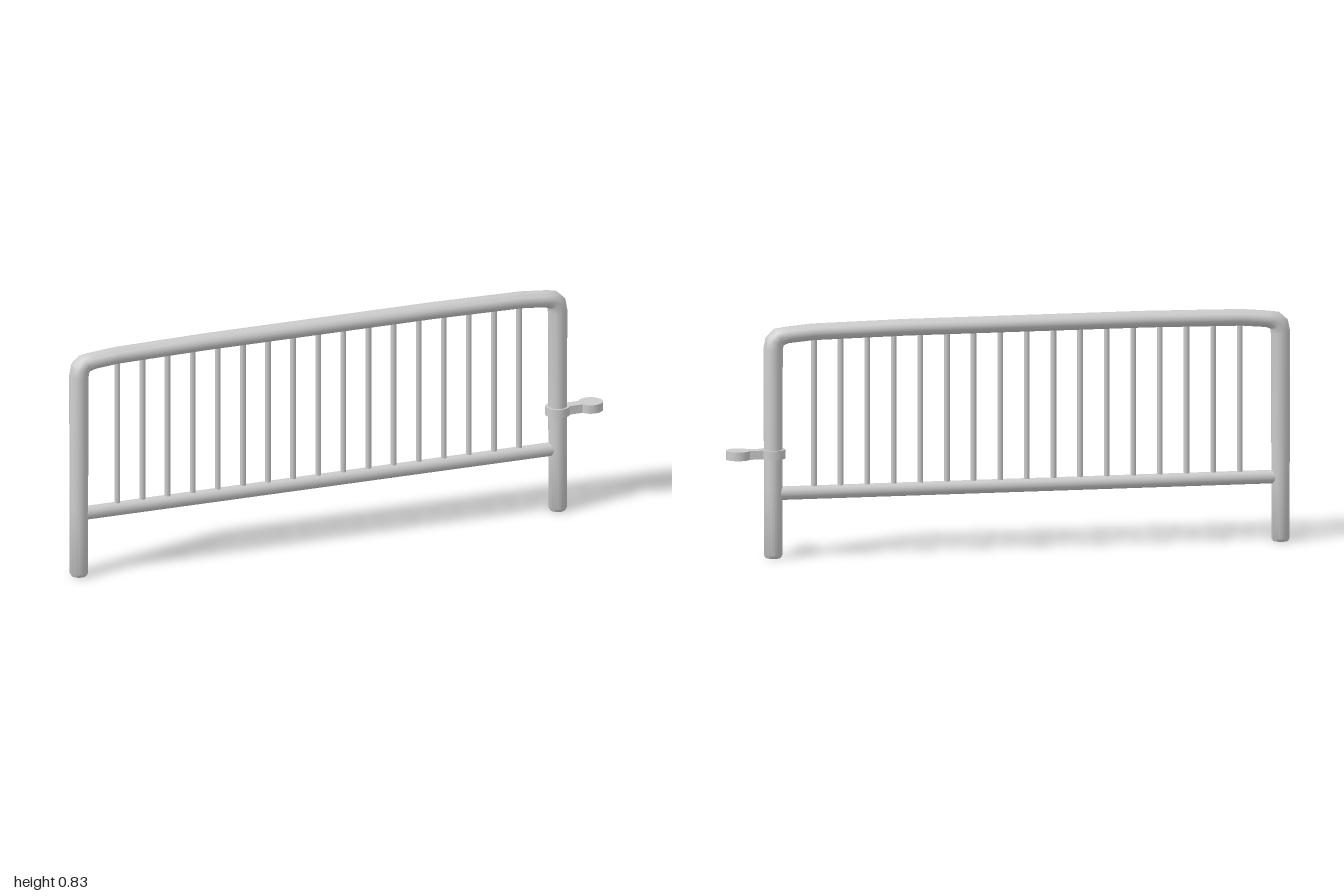
import * as THREE from 'three';
import { toCreasedNormals } from 'three/addons/utils/BufferGeometryUtils.js';

const MID = -0.066; // centre of the barrier frame, the latch sticks out past it
const material = new THREE.MeshStandardMaterial({ color: 0xcccccc });

function add(parent, name, geometry, x = 0, y = 0, z = 0) {
  const mesh = new THREE.Mesh(geometry, material);
  mesh.name = name;
  mesh.position.set(x, y, z);
  parent.add(mesh);
  return mesh;
}

// Sweeps an elliptical section along [x, y, in-plane radius, z radius] stations
function sweep(stations, sides = 20) {
  const pos = [], index = [];
  stations.forEach(([x, y, rn, rz], i) => {
    const a = stations[Math.max(i - 1, 0)];
    const b = stations[Math.min(i + 1, stations.length - 1)];
    const d1 = new THREE.Vector2(x - a[0], y - a[1]).normalize();
    const d2 = new THREE.Vector2(b[0] - x, b[1] - y).normalize();
    const t = d1.add(d2).normalize();
    for (let j = 0; j < sides; j++) {
      const ang = (j / sides) * Math.PI * 2;
      const n = Math.cos(ang) * rn;
      pos.push(x - t.y * n, y + t.x * n, Math.sin(ang) * rz);
      if (i === 0) continue;
      const k = (j + 1) % sides, p = (i - 1) * sides, q = i * sides;
      index.push(p + j, p + k, q + j, p + k, q + k, q + j);
    }
  });
  const g = new THREE.BufferGeometry();
  g.setAttribute('position', new THREE.Float32BufferAttribute(pos, 3));
  g.setIndex(index);
  return toCreasedNormals(g, 0.65);
}

export function createModel() {
  const model = new THREE.Group();
  model.name = 'barrier';

  // Bent outer tube: both legs and the slightly crowned top rail
  const half = [
    [-0.899, 0, 0.026, 0.027],
    [-0.899, 0.010, 0.032, 0.034],
    [-0.899, 0.25, 0.032, 0.035],
    [-0.899, 0.735, 0.034, 0.036],
    [-0.894, 0.763, 0.035, 0.036],
    [-0.878, 0.779, 0.033, 0.036],
    [-0.850, 0.785, 0.029, 0.036],
    [-0.760, 0.793, 0.029, 0.036],
    [-0.430, 0.798, 0.029, 0.036],
  ];
  const other = half.map(([x, ...rest]) => [-x, ...rest]).reverse();
  add(model, 'outerFrame', sweep([...half, ...other]), MID);
  for (const s of [-1, 1]) {
    const foot = add(model, 'footCap', new THREE.CircleGeometry(0.0265, 20), MID + s * 0.899, 0, 0);
    foot.rotation.x = Math.PI / 2;
  }

  // Lower rail
  const rail = add(model, 'lowerRail', new THREE.CylinderGeometry(0.024, 0.024, 1.76, 16), MID, 0.227);
  rail.rotation.z = Math.PI / 2;

  // Vertical bars
  const bars = new THREE.Group();
  bars.name = 'bars';
  model.add(bars);
  const barGeometry = new THREE.CylinderGeometry(0.01, 0.01, 0.56, 10);
  for (let i = 0; i < 17; i++) {
    add(bars, 'bar', barGeometry, MID + (i - 8) * 0.0943, 0.51);
  }

  // Latch: collar round the leg, narrow neck and round tongue
  const r = 0.043, a = Math.asin(0.02 / r);
  const outline = new THREE.Shape();
  outline.absarc(0.833, 0, r, a, Math.PI * 2 - a, false);
  outline.absarc(0.957, 0, r, Math.PI + a, Math.PI * 3 - a, false);
  const latch = add(model, 'latch',
    new THREE.ExtrudeGeometry(outline, { depth: 0.031, bevelEnabled: false, curveSegments: 18 }), 0, 0.352);
  latch.rotation.x = -Math.PI / 2;

  return model;
}
